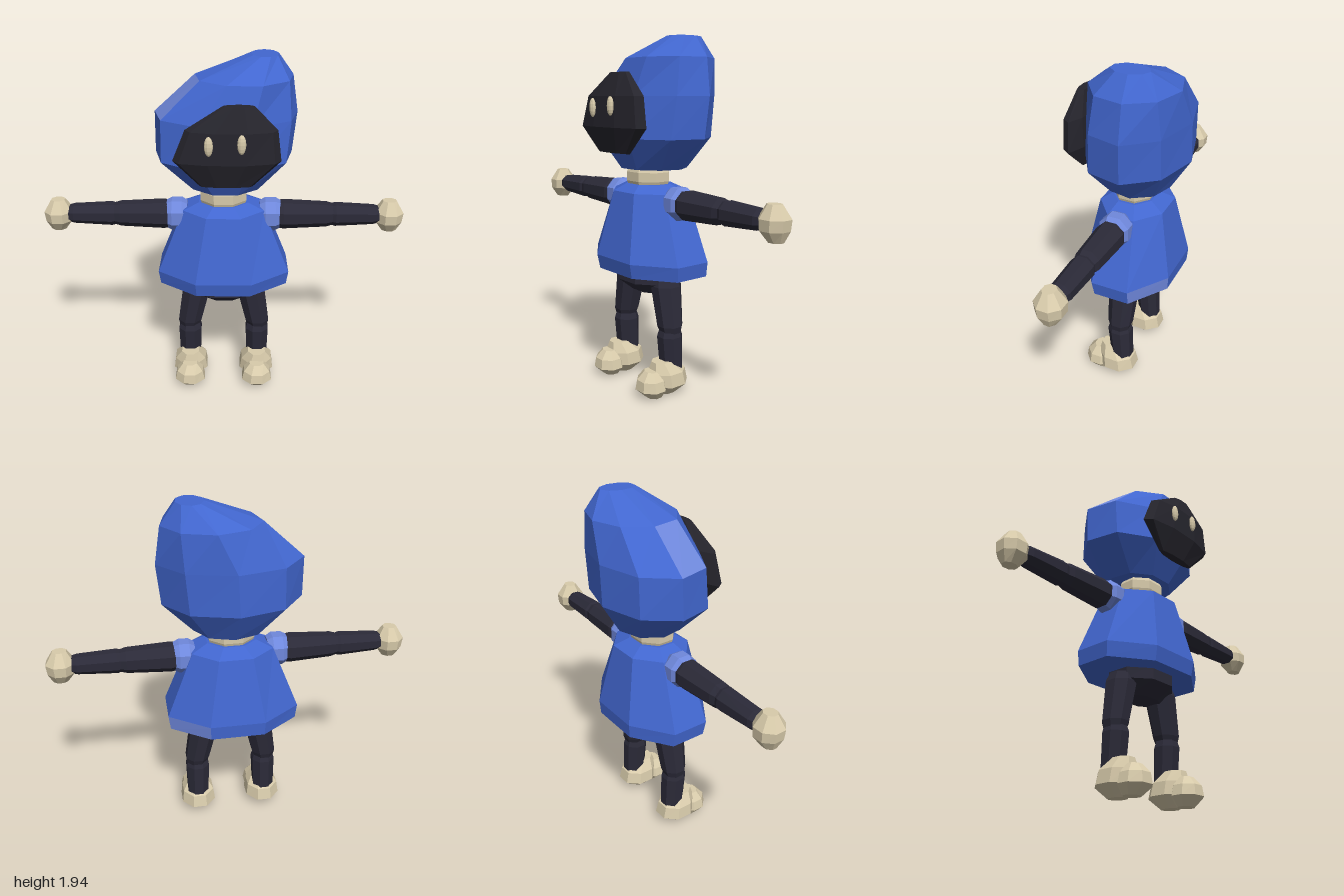
import * as THREE from 'three';

const mat = (name, color) => {
  const m = new THREE.MeshStandardMaterial({ color, flatShading: true });
  m.name = name;
  return m;
};

// Closed faceted solid through rings [y, centreX, centreZ, radiusX, radiusZ].
// painted = [band, side] is the one face that uses the second material.
function loft(rings, sides, phase = 0, painted = null) {
  const point = (i, j) => {
    const [y, cx, cz, rx, rz] = rings[i];
    const a = phase + ((j % sides) / sides) * Math.PI * 2;
    return [cx + rx * Math.sin(a), y, cz - rz * Math.cos(a)];
  };
  const main = [], accent = [], last = rings.length - 1;
  const centre = (i) => [rings[i][1], rings[i][0], rings[i][2]];
  for (let j = 0; j < sides; j++) {
    for (let i = 0; i < last; i++) {
      const a = point(i, j), b = point(i, j + 1), c = point(i + 1, j), d = point(i + 1, j + 1);
      const list = painted && painted[0] === i && painted[1] === j ? accent : main;
      list.push(...a, ...c, ...b, ...b, ...c, ...d);
    }
    main.push(...centre(0), ...point(0, j), ...point(0, j + 1));
    main.push(...centre(last), ...point(last, j + 1), ...point(last, j));
  }
  const geo = new THREE.BufferGeometry();
  geo.setAttribute('position', new THREE.Float32BufferAttribute([...main, ...accent], 3));
  geo.computeVertexNormals();
  if (painted) {
    geo.addGroup(0, main.length / 3, 0);
    geo.addGroup(main.length / 3, accent.length / 3, 1);
  }
  return geo;
}

export function createModel() {
  const model = new THREE.Group();
  model.name = 'hoodedFigure';
  const blue = mat('blue cloth', 0x4267d0);
  const paleBlue = mat('pale blue cloth', 0x6f88dc);
  const dark = mat('dark limbs', 0x2b2a38);
  const shade = mat('face shadow', 0x26252d);
  const cream = mat('cream', 0xd8cbab);
  const flat = Math.PI / 8;

  const add = (name, geo, material, parent = model) => {
    const mesh = new THREE.Mesh(geo, material);
    mesh.name = name;
    parent.add(mesh);
    return mesh;
  };

  // Hood leaning towards its left
  add('hood', loft([
    [1.25, 0.01, -0.037, 0.2, 0.178],
    [1.42, 0, -0.039, 0.375, 0.281],
    [1.64, 0.012, -0.052, 0.385, 0.268],
    [1.835, 0.105, -0.063, 0.26, 0.232],
    [1.945, 0.21, -0.08, 0.072, 0.1],
  ], 9, 0, [2, 6]), [blue, paleBlue]);

  // Dark face and eyes
  add('face', loft([
    [1.345, 0.015, 0.233, 0.137, 0.024],
    [1.48, 0.018, 0.243, 0.276, 0.064],
    [1.64, 0.04, 0.243, 0.232, 0.06],
    [1.76, 0.075, 0.236, 0.077, 0.026],
  ], 9), shade);
  for (const [name, x, y] of [['rightEye', -0.07, 1.58], ['leftEye', 0.09, 1.59]]) {
    const eye = add(name, new THREE.SphereGeometry(1, 10, 8), cream);
    eye.scale.set(0.022, 0.05, 0.016);
    eye.position.set(x, y, 0.308);
  }

  add('neck', loft([
    [1.13, 0, -0.01, 0.115, 0.1],
    [1.18, 0, -0.01, 0.135, 0.118],
    [1.23, 0, -0.01, 0.135, 0.118],
    [1.27, 0, -0.01, 0.115, 0.1],
  ], 8, flat), cream);

  // Flared tunic
  add('tunic', loft([
    [0.68, 0, -0.025, 0.386, 0.265],
    [0.76, 0, -0.02, 0.397, 0.277],
    [1.125, 0, -0.022, 0.24, 0.198],
    [1.165, 0, -0.014, 0.145, 0.122],
  ], 8, flat, [0, 0]), [blue, paleBlue]);

  add('hips', loft([
    [0.553, 0.003, -0.01, 0.13, 0.08],
    [0.62, 0, -0.01, 0.2, 0.167],
    [0.7, 0, -0.01, 0.2, 0.165],
  ], 8, flat), dark);

  for (const s of [1, -1]) {
    const side = s > 0 ? 'left' : 'right';

    // Arm parts are lofted upright, then laid out sideways: [distance, radiusY, radiusZ]
    const arm = new THREE.Group();
    arm.name = side + 'Arm';
    model.add(arm);
    const limb = (name, rows, material) => {
      const rings = rows.map(([d, ry, rz]) => [d, -s * 1.077, -0.014, ry, rz]);
      add(name, loft(rings, 8, flat).rotateZ(-s * Math.PI / 2), material, arm);
    };
    limb(side + 'Cuff', [[0.2, 0.075, 0.07], [0.23, 0.094, 0.09], [0.285, 0.094, 0.09], [0.318, 0.078, 0.07]], paleBlue);
    limb(side + 'UpperArm', [[0.29, 0.075, 0.072], [0.33, 0.083, 0.082], [0.57, 0.071, 0.07], [0.61, 0.06, 0.058]], dark);
    limb(side + 'Forearm', [[0.59, 0.058, 0.056], [0.62, 0.067, 0.067], [0.83, 0.055, 0.06], [0.87, 0.045, 0.045]], dark);
    add(side + 'Hand', loft([
      [0.985, s * 0.925, -0.014, 0.042, 0.035],
      [1.04, s * 0.917, -0.014, 0.076, 0.076],
      [1.095, s * 0.917, -0.014, 0.082, 0.08],
      [1.162, s * 0.915, -0.012, 0.04, 0.035],
    ], 8, flat), cream, arm);

    // Leg and two-lobed foot
    const leg = new THREE.Group();
    leg.name = side + 'Leg';
    model.add(leg);
    const part = (name, rows, material) =>
      add(name, loft(rows.map(([y, x, ...r]) => [y, s * x, ...r]), 8, flat), material, leg);
    part(side + 'Thigh', [
      [0.345, 0.205, -0.005, 0.058, 0.058],
      [0.39, 0.2, -0.005, 0.073, 0.073],
      [0.61, 0.158, -0.01, 0.086, 0.088],
      [0.66, 0.15, -0.01, 0.07, 0.07],
    ], dark);
    part(side + 'Shin', [
      [0.13, 0.202, -0.015, 0.066, 0.066],
      [0.33, 0.2, -0.003, 0.072, 0.073],
      [0.37, 0.2, -0.003, 0.06, 0.06],
    ], dark);
    part(side + 'Heel', [
      [0.005, 0.2, 0.02, 0.045, 0.055],
      [0.065, 0.2, 0.012, 0.108, 0.12],
      [0.135, 0.2, 0.02, 0.098, 0.112],
      [0.195, 0.2, 0.05, 0.055, 0.065],
    ], cream);
    part(side + 'Toe', [
      [0.005, 0.205, 0.115, 0.05, 0.045],
      [0.055, 0.2, 0.13, 0.095, 0.086],
      [0.11, 0.2, 0.13, 0.082, 0.078],
      [0.155, 0.2, 0.13, 0.045, 0.035],
    ], cream);
  }
  return model;
}
